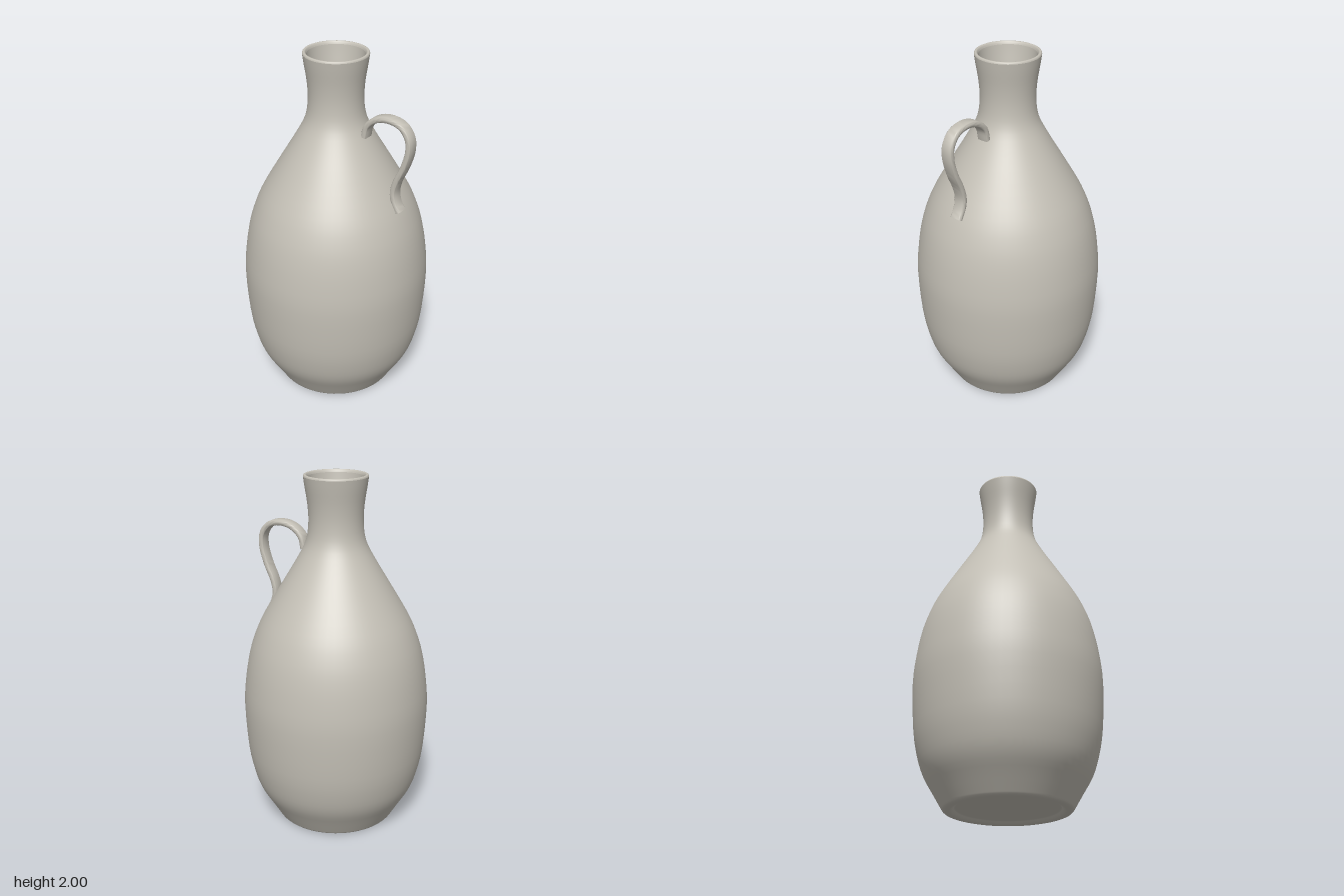
import * as THREE from 'three';
import { mergeVertices, toCreasedNormals } from 'three/addons/utils/BufferGeometryUtils.js';

const clay = new THREE.MeshStandardMaterial({ color: 0xc4c0b6 });
clay.name = 'grey clay';

const points = (list) => list.map(([x, y]) => new THREE.Vector2(x, y));
const smooth = (list, n) => new THREE.SplineCurve(points(list)).getPoints(n);

function lathe(name, profile) {
  const mesh = new THREE.Mesh(new THREE.LatheGeometry(profile, 64), clay);
  mesh.name = name;
  return mesh;
}

export function createModel() {
  const group = new THREE.Group();
  group.name = 'jug';

  // Outer wall, from the foot to the flared lip
  const wall = [
    [0.353, 0.02], [0.4, 0.1], [0.452, 0.19], [0.486, 0.29], [0.513, 0.44], [0.527, 0.69],
    [0.514, 0.86], [0.489, 1.0], [0.455, 1.11], [0.405, 1.22], [0.305, 1.39], [0.215, 1.54],
    [0.165, 1.64], [0.15, 1.74], [0.154, 1.84], [0.169, 1.94], [0.176, 1.99],
  ];
  group.add(lathe('outerWall', smooth(wall, 48)));

  // Rounded foot ring around a recessed base
  group.add(lathe('foot', [
    ...points([[0, 0.02], [0.27, 0.02]]),
    ...smooth([[0.28, 0.019], [0.292, 0.008], [0.305, 0.001], [0.325, 0], [0.343, 0.006], [0.353, 0.02]], 14),
  ]));

  // Lip joining both walls
  group.add(lathe('lip', smooth([[0.176, 1.99], [0.173, 1.998], [0.166, 2], [0.159, 1.997], [0.154, 1.985]], 8)));

  // Hollow inside: the wall again, a little narrower, closed by a floor
  const inside = wall.slice(1).reverse().map(([r, y]) => [r - 0.022, y - 0.005]);
  group.add(lathe('innerWall', [
    ...smooth(inside, 48),
    ...points([[0.355, 0.058], [0.33, 0.045], [0.3, 0.04], [0, 0.04]]),
  ]));

  // Flat strap handle swept along an S-shaped path on the left side
  const path = new THREE.CatmullRomCurve3([
    [0.196, 1.575], [0.212, 1.64], [0.265, 1.688], [0.34, 1.706], [0.42, 1.688], [0.465, 1.63],
    [0.47, 1.56], [0.442, 1.46], [0.402, 1.37], [0.387, 1.3], [0.4, 1.24], [0.426, 1.195],
  ].map(([x, y]) => new THREE.Vector3(x, y, 0)));
  const [w, t, c] = [0.035, 0.016, 0.012];
  const section = new THREE.Shape();
  section.moveTo(-w + c, -t).lineTo(w - c, -t).quadraticCurveTo(w, -t, w, 0)
    .quadraticCurveTo(w, t, w - c, t).lineTo(-w + c, t)
    .quadraticCurveTo(-w, t, -w, 0).quadraticCurveTo(-w, -t, -w + c, -t);
  let strap = new THREE.ExtrudeGeometry(section, { steps: 48, extrudePath: path, curveSegments: 4 });
  strap.deleteAttribute('normal');
  strap.deleteAttribute('uv');
  strap.clearGroups();
  strap = toCreasedNormals(mergeVertices(strap, 1e-5), 1);
  const handle = new THREE.Mesh(strap, clay);
  handle.name = 'handle';
  group.add(handle);

  return group;
}
